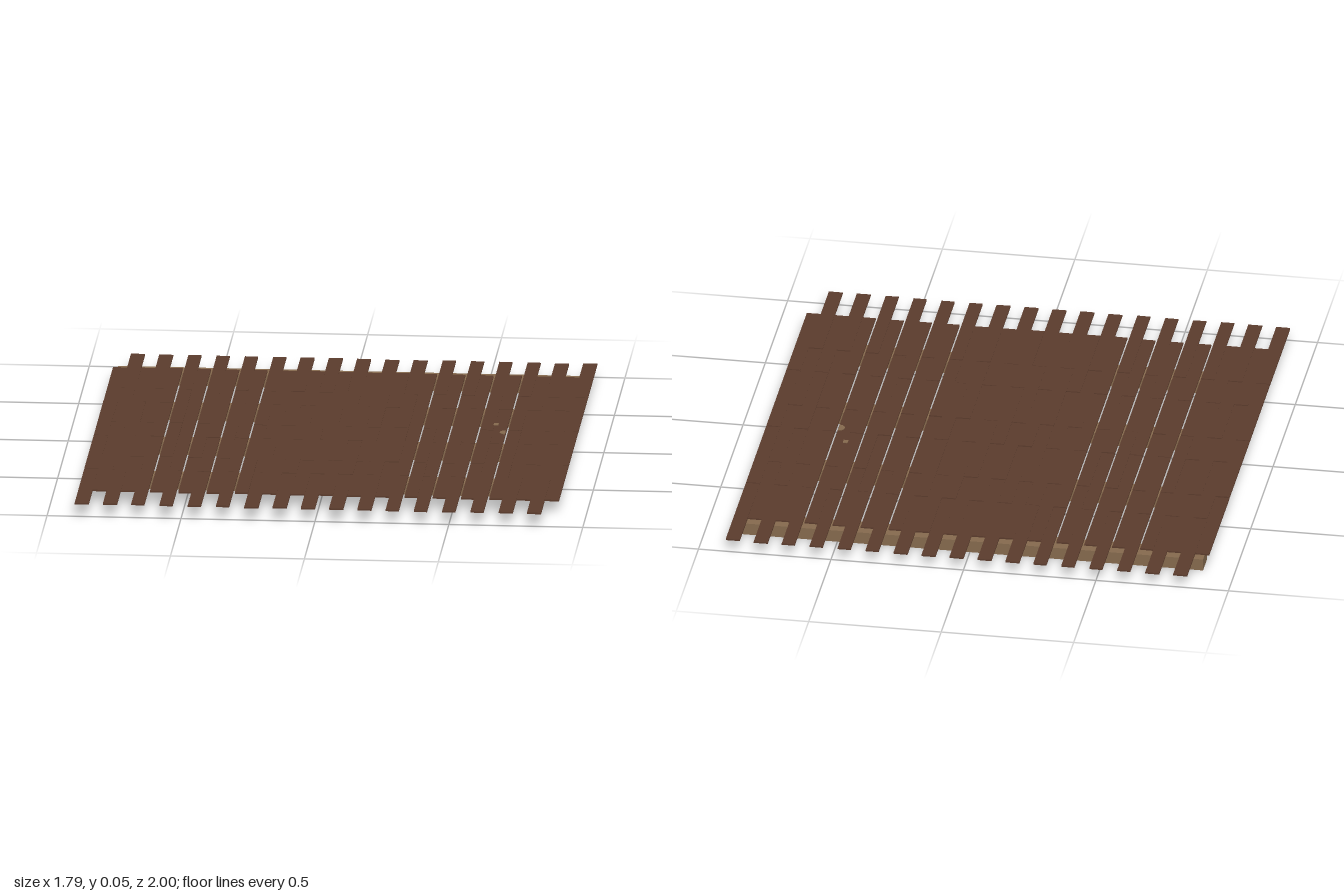
import * as THREE from 'three';

const COLUMNS = 34;
const PITCH = 1.794 / COLUMNS;
const PLANK_LENGTH = 0.455;
const THICKNESS = 0.006;
// Column boundaries left slightly open
const OPEN_SEAMS = [5, 7, 9, 11, 23, 25, 27, 29];

// Small seeded generator for the uneven laying of the planks
function makeRandom(seed) {
  return () => {
    seed = (seed * 16807) % 2147483647;
    return seed / 2147483647;
  };
}

export function createModel() {
  const model = new THREE.Group();
  model.name = 'plankDeck';
  const plankWood = new THREE.MeshStandardMaterial({ color: 0x5a3b2c });
  plankWood.name = 'darkPlankWood';
  const beamWood = new THREE.MeshStandardMaterial({ color: 0x84694d });
  beamWood.name = 'paleBeamWood';
  const random = makeRandom(4711);

  const addBox = (parent, name, material, size, position) => {
    const mesh = new THREE.Mesh(new THREE.BoxGeometry(...size), material);
    mesh.name = name;
    mesh.position.set(...position);
    parent.add(mesh);
    return mesh;
  };

  // Four cross beams under the deck
  const beams = new THREE.Group();
  beams.name = 'beams';
  for (let i = 0; i < 4; i++) {
    addBox(beams, 'beam', beamWood, [1.76, 0.046, 0.086], [0, 0.023, 0.573 - i * 0.462]);
  }
  model.add(beams);

  // Planks: alternate columns are shifted forwards and backwards
  const planks = new THREE.Group();
  planks.name = 'planks';
  for (let c = 0; c < COLUMNS; c++) {
    const gapLeft = OPEN_SEAMS.includes(c) ? 0.0035 : 0;
    const gapRight = OPEN_SEAMS.includes(c + 1) ? 0.0035 : 0;
    const x0 = -0.897 + c * PITCH + gapLeft;
    const x1 = -0.897 + (c + 1) * PITCH - gapRight;
    const start = c % 2 === 0 ? -0.82 : -1;
    for (let i = 0; i < 4; i++) {
      const y = 0.0495 + (random() - 0.5) * 0.002 + (start + i * PLANK_LENGTH) * 0.0008;
      const zGap = 0.0025;
      const z0 = start + i * PLANK_LENGTH + (i > 0 ? zGap : 0);
      const z1 = start + (i + 1) * PLANK_LENGTH - (i < 3 ? zGap : 0);
      const plank = addBox(planks, 'plank', plankWood,
        [x1 - x0, THICKNESS, z1 - z0], [(x0 + x1) / 2, y, (z0 + z1) / 2]);
      plank.rotation.x = (random() - 0.5) * 0.006;
      plank.rotation.z = (random() - 0.5) * 0.02;
    }
  }
  model.add(planks);

  // Two small worn spots showing pale wood
  addBox(model, 'wornSquare', beamWood, [0.018, 0.009, 0.022], [0.585, 0.0495, -0.165]);
  const knot = new THREE.Mesh(
    new THREE.CylinderGeometry(0.022, 0.022, 0.009, 10, 1, false, Math.PI, Math.PI), beamWood);
  knot.name = 'wornKnot';
  knot.position.set(0.628, 0.0495, -0.06);
  model.add(knot);

  return model;
}
